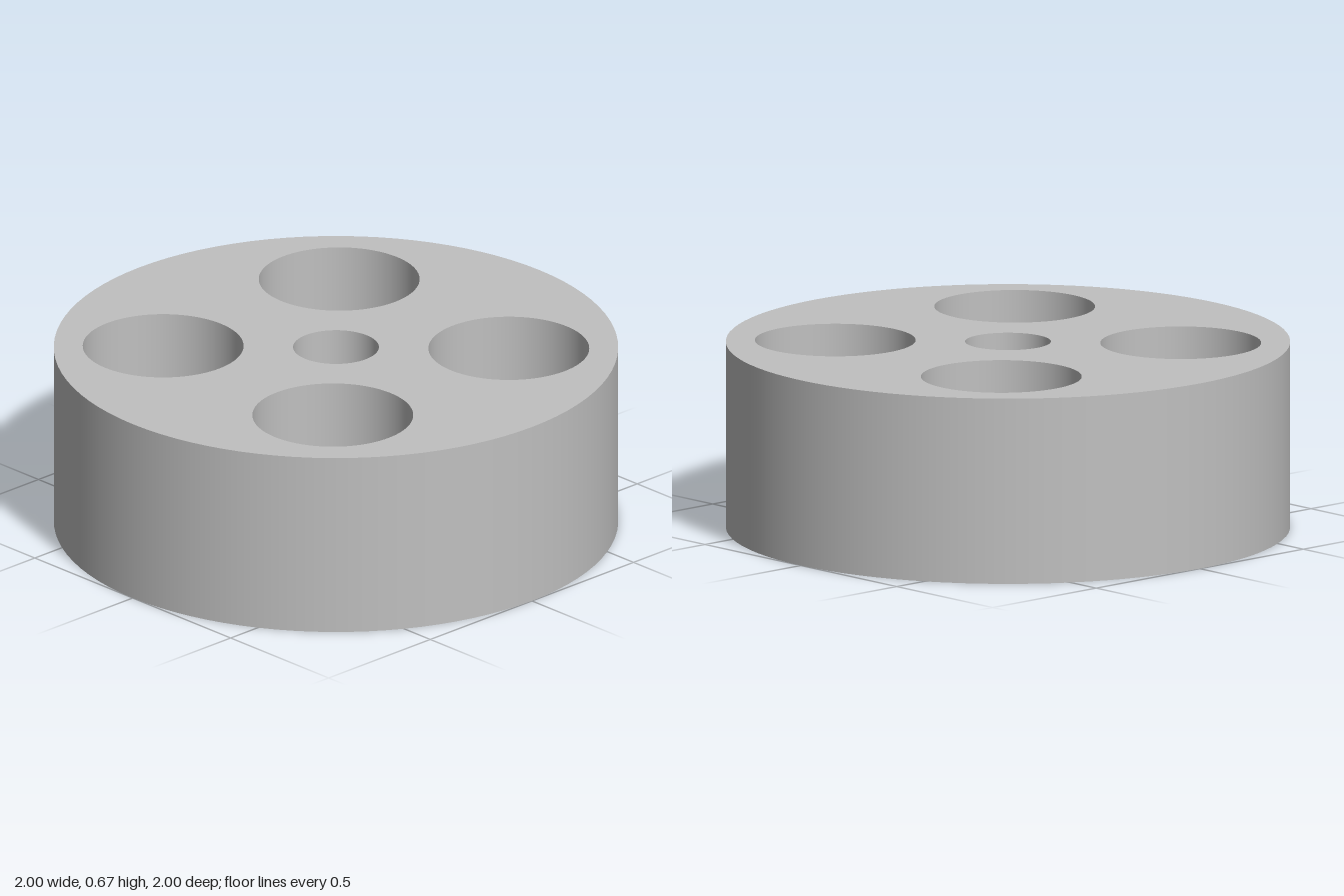
import * as THREE from 'three';

const HEIGHT = 0.67;
const OUTER_R = 1;
const CENTER_R = 0.152;  // central bore
const HEX_R = 0.256;     // hexagonal pocket, corner radius
const HEX_DEPTH = 0.33;
const POCKET_R = 0.285;  // four wide pockets open at the top
const SCREW_R = 0.094;   // small holes through the pocket floors
const FLOOR = 0.055;     // thickness left under the pockets
const OFFSET = 0.433;
const SEG = 96;

const corners = [[1, 1], [-1, 1], [-1, -1], [1, -1]].map(([x, z]) => [x * OFFSET, z * OFFSET]);

// Regular polygon as a list of points
function ring(radius, sides, cx = 0, cy = 0) {
  return Array.from({ length: sides }, (_, i) => {
    const a = (i / sides) * Math.PI * 2;
    return new THREE.Vector2(cx + Math.cos(a) * radius, cy + Math.sin(a) * radius);
  });
}

// Flat horizontal face with holes, facing up or down
function plate(outline, holes, y, up) {
  const shape = new THREE.Shape(outline);
  holes.forEach((h) => shape.holes.push(new THREE.Path(h)));
  return new THREE.ShapeGeometry(shape).rotateX(up ? -Math.PI / 2 : Math.PI / 2).translate(0, y, 0);
}

// Turned surface between two profile points; rising faces outward, falling faces inward
function turned(r0, y0, r1, y1, sides = SEG) {
  const points = [new THREE.Vector2(r0, y0), new THREE.Vector2(r1, y1)];
  return new THREE.LatheGeometry(points, sides, Math.PI / 2);
}

export function createModel() {
  const model = new THREE.Group();
  model.name = 'counterboredDisc';
  const grey = new THREE.MeshStandardMaterial({ color: 0xc0c0c0 });
  grey.name = 'grey';

  const add = (parent, name, geometry) => {
    const mesh = new THREE.Mesh(geometry, grey);
    mesh.name = name;
    parent.add(mesh);
    return mesh;
  };

  // Disc body
  const holesOf = (radius) => corners.map(([x, z]) => ring(radius, SEG, x, z));
  add(model, 'rim', turned(OUTER_R, 0, OUTER_R, HEIGHT));
  add(model, 'topFace',
    plate(ring(OUTER_R, SEG), [ring(CENTER_R, SEG), ...holesOf(POCKET_R)], HEIGHT, true));
  add(model, 'bottomFace',
    plate(ring(OUTER_R, SEG), [ring(HEX_R, 6), ...holesOf(SCREW_R)], 0, false));

  // Central bore opening into the hexagonal pocket below
  add(model, 'centerBore', turned(CENTER_R, HEIGHT, CENTER_R, HEX_DEPTH));
  add(model, 'hexCeiling', plate(ring(HEX_R, 6), [ring(CENTER_R, SEG)], HEX_DEPTH, false));
  const hexWalls = turned(HEX_R, HEX_DEPTH, HEX_R, 0, 6).toNonIndexed();
  hexWalls.computeVertexNormals();
  add(model, 'hexWalls', hexWalls);

  // Four round pockets with a screw hole in each floor
  const wall = turned(POCKET_R, HEIGHT, POCKET_R, FLOOR);
  const floor = turned(POCKET_R, FLOOR, SCREW_R, FLOOR);
  const hole = turned(SCREW_R, FLOOR, SCREW_R, 0);
  corners.forEach(([x, z], i) => {
    const pocket = new THREE.Group();
    pocket.name = `pocket${i + 1}`;
    add(pocket, 'pocketWall', wall);
    add(pocket, 'pocketFloor', floor);
    add(pocket, 'screwHole', hole);
    pocket.position.set(x, 0, z);
    model.add(pocket);
  });

  return model;
}
